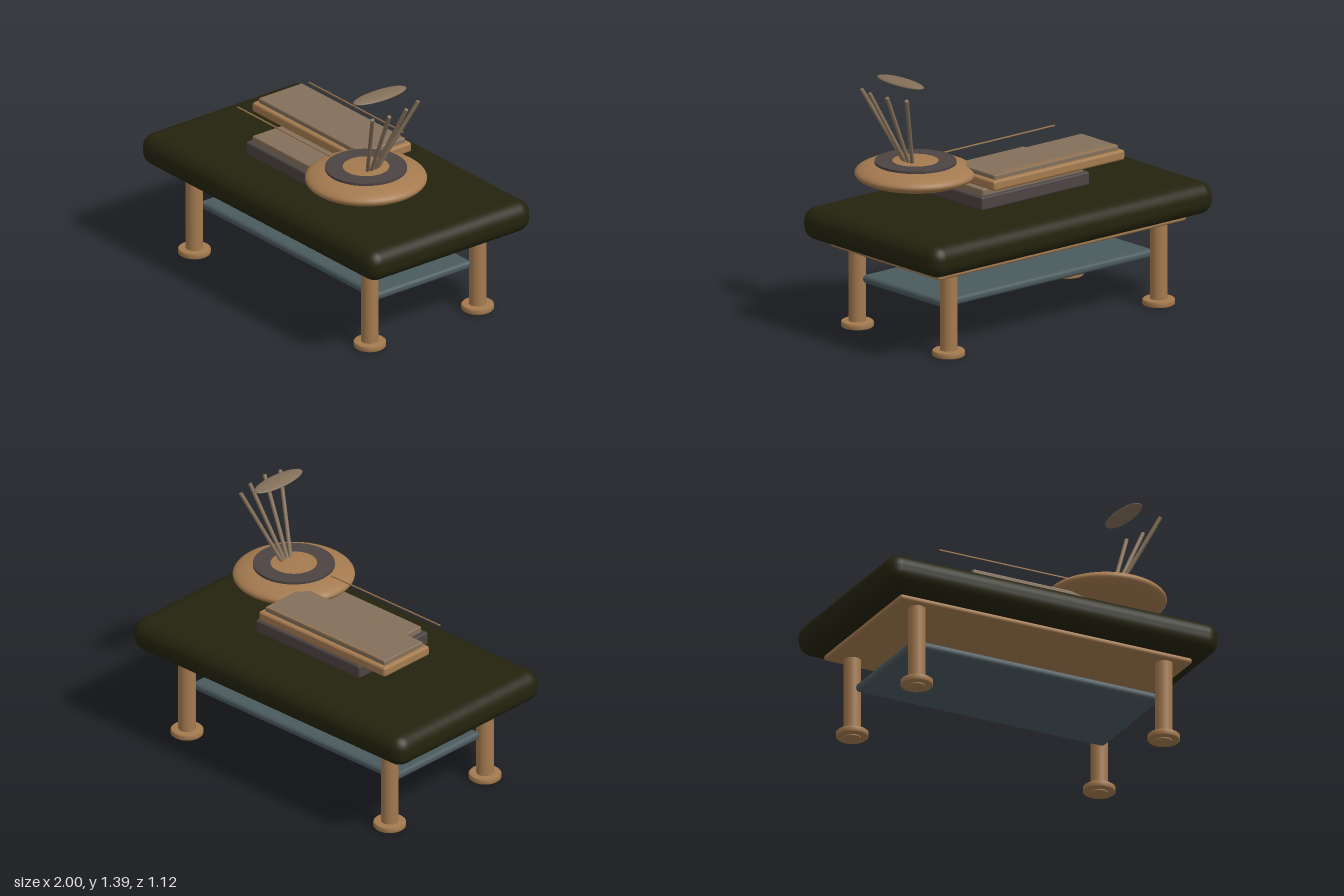
import * as THREE from 'three';
import { RoundedBoxGeometry } from 'three/addons/geometries/RoundedBoxGeometry.js';

export function createModel() {
  const model = new THREE.Group();
  model.name = 'tableWithBooksAndBowl';

  const material = (name, color) => {
    const m = new THREE.MeshStandardMaterial({ color });
    m.name = name;
    return m;
  };
  const wood = material('warm wood', 0xa47a4f);
  const paper = material('taupe', 0x84705a);
  const dark = material('dark grey brown', 0x4d4343);
  const slate = material('slate blue', 0x4b5a5e);
  const olive = material('dark olive', 0x24230e);

  const add = (name, geometry, mat, x, y, z) => {
    const mesh = new THREE.Mesh(geometry, mat);
    mesh.name = name;
    mesh.position.set(x, y, z);
    model.add(mesh);
    return mesh;
  };
  // Rounded box given by its limits on each axis
  const slab = (name, mat, [x0, x1], [y0, y1], [z0, z1], radius) =>
    add(name, new RoundedBoxGeometry(x1 - x0, y1 - y0, z1 - z0, 5, radius), mat,
      (x0 + x1) / 2, (y0 + y1) / 2, (z0 + z1) / 2);

  // Table: padded top, frame board and lower shelf
  slab('tableTop', olive, [-1, 1], [0.5, 0.68], [-0.56, 0.56], 0.08);
  slab('frameBoard', wood, [-0.88, 0.88], [0.46, 0.492], [-0.445, 0.445], 0.014);
  slab('lowerShelf', slate, [-0.75, 0.75], [0.256, 0.302], [-0.33, 0.33], 0.02);

  // Legs with bevelled round feet
  const footProfile = [[0, 0.006], [0.082, 0.006], [0.088, 0.012], [0.088, 0.034], [0.082, 0.04], [0, 0.04]]
    .map(([r, y]) => new THREE.Vector2(r, y));
  for (const sx of [-1, 1]) {
    for (const sz of [-1, 1]) {
      add('leg', new THREE.CylinderGeometry(0.047, 0.047, 0.492, 32), wood, sx * 0.745, 0.246, sz * 0.37);
      add('foot', new THREE.LatheGeometry(footProfile, 32), wood, sx * 0.745, 0, sz * 0.37);
    }
  }

  // Two stacked books
  slab('lowerBookCover', dark, [-0.385, 0.38], [0.705, 0.78], [-0.225, 0.31], 0.012);
  slab('lowerBookPages', paper, [-0.36, 0.355], [0.775, 0.815], [-0.203, 0.285], 0.008);
  slab('upperBookCover', wood, [-0.605, 0.325], [0.81, 0.866], [-0.26, 0.09], 0.014);
  slab('upperBookPages', paper, [-0.58, 0.3], [0.86, 0.892], [-0.235, 0.065], 0.008);

  // Thin rods above the books
  for (const z of [-0.25, 0.24]) {
    add('thinRod', new THREE.BoxGeometry(0.8, 0.006, 0.006), wood, -0.14, 0.905, z);
  }

  // Flattened bowl with a dark disc; its crown shows through the middle
  const bowlX = 0.49, bowlZ = 0.19;
  add('bowl', new THREE.SphereGeometry(1, 64, 32), wood, bowlX, 0.852, bowlZ).scale.set(0.327, 0.073, 0.327);
  add('bowlDisc', new THREE.CylinderGeometry(0.219, 0.219, 0.014, 64), dark, bowlX, 0.9125, bowlZ);

  // Fanned sticks, each from its base to its tip
  const sticks = [
    [[0.535, 0.9, 0.162], [0.71, 1.33, 0.01]],
    [[0.54, 0.9, 0.18], [0.75, 1.33, 0.123]],
    [[0.54, 0.9, 0.2], [0.763, 1.33, 0.25]],
    [[0.535, 0.9, 0.217], [0.738, 1.33, 0.345]],
  ];
  for (const [a, b] of sticks) {
    const from = new THREE.Vector3(...a), to = new THREE.Vector3(...b);
    const dir = to.clone().sub(from);
    const mid = from.clone().add(to).multiplyScalar(0.5);
    add('stick', new THREE.CylinderGeometry(0.011, 0.011, dir.length(), 16), paper, mid.x, mid.y, mid.z)
      .quaternion.setFromUnitVectors(new THREE.Vector3(0, 1, 0), dir.normalize());
  }

  // Flat oval hovering over the sticks
  add('floatingOval', new THREE.SphereGeometry(1, 40, 20), paper, 0.6, 1.376, 0.185).scale.set(0.06, 0.015, 0.177);

  return model;
}
